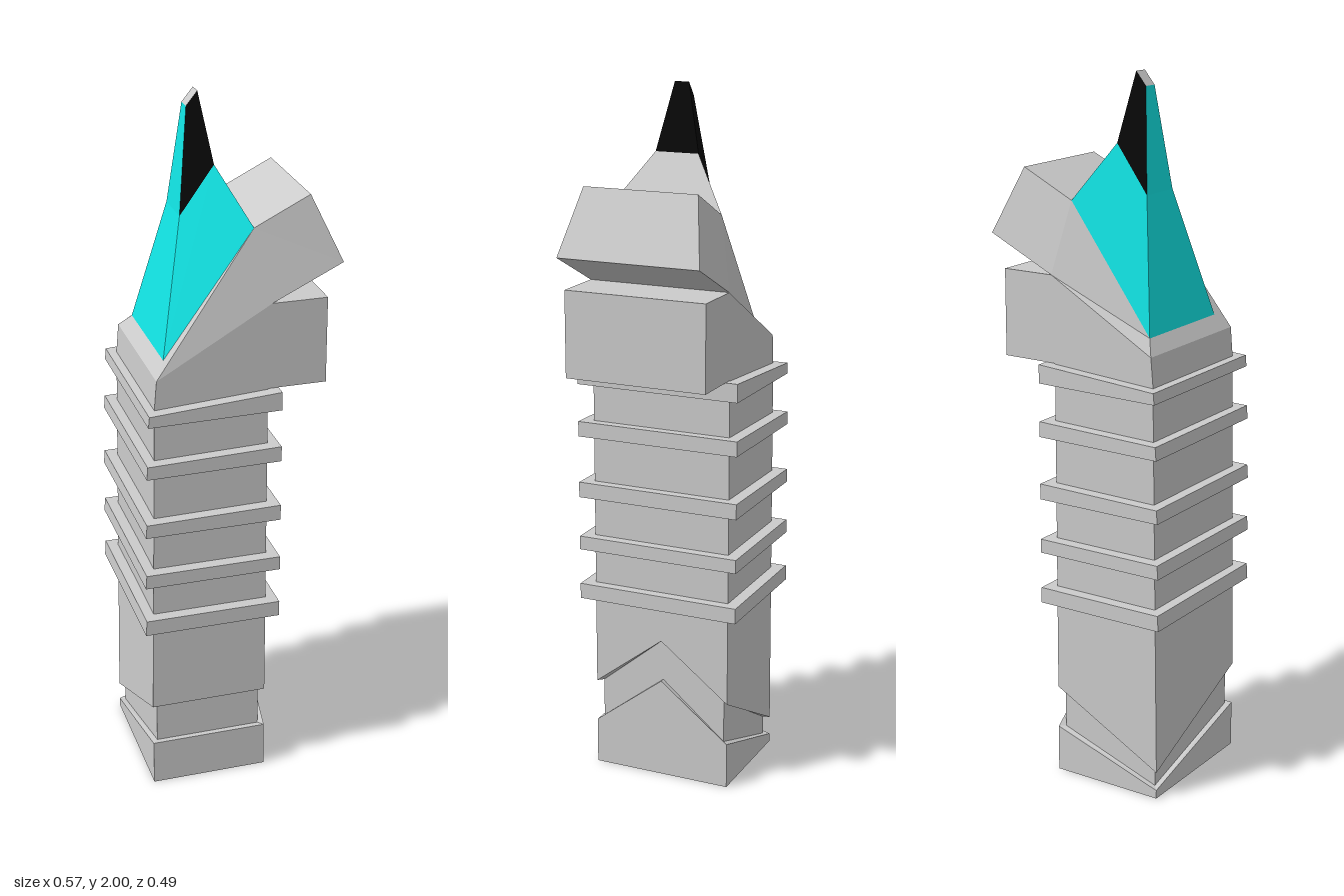
import * as THREE from 'three';

const GREY = 0xcccccc, CYAN = 0x12e6e6, BLACK = 0x080808;

function addMesh(group, name, geometry, color = GREY) {
  const mesh = new THREE.Mesh(geometry, new THREE.MeshStandardMaterial({ color, flatShading: true }));
  mesh.name = name;
  group.add(mesh);
}

// Flat-faced surface through equal-length loops; loops run counter-clockwise seen from the last loop.
// sides limits which strips are built; start/end close the ends.
function loft(loops, { sides, start = false, end = false } = {}) {
  const pos = [], n = loops[0].length;
  const tri = (a, b, c) => pos.push(...a, ...b, ...c);
  for (let k = 0; k + 1 < loops.length; k++) {
    const a = loops[k], b = loops[k + 1];
    for (let i = 0; i < n; i++) {
      if (sides && !sides.includes(i)) continue;
      const j = (i + 1) % n;
      tri(a[i], a[j], b[j]);
      tri(a[i], b[j], b[i]);
    }
  }
  const first = loops[0], last = loops[loops.length - 1];
  for (let i = 1; i + 1 < n; i++) {
    if (start) tri(first[0], first[i + 1], first[i]);
    if (end) tri(last[0], last[i], last[i + 1]);
  }
  const g = new THREE.BufferGeometry();
  g.setAttribute('position', new THREE.Float32BufferAttribute(pos, 3));
  g.computeVertexNormals();
  return g;
}

// Four-corner loop, mirrored in z; strips are 0:+z, 1:+x, 2:-z, 3:-x
const loop4 = (xb, yb, xf, yf, z) => [[xb, yb, z], [xf, yf, z], [xf, yf, -z], [xb, yb, -z]];

// Five-corner loop: peak in the middle of the +x side, dip at the back-left corner
const loop5 = (xb, xf, z, y, peak = y, dip = y, yf = y) =>
  [[xb, y, z], [xf, yf, z], [xf, peak, 0], [xf, yf, -z], [xb, dip, -z]];

export function createModel() {
  const model = new THREE.Group();
  model.name = 'carvedPost';

  // Post with a chevron groove cut around its foot
  addMesh(model, 'post', loft([
    loop5(-0.26, 0.075, 0.208, 0),
    loop5(-0.26, 0.075, 0.208, 0.135, 0.295, 0.025),
    loop5(-0.245, 0.06, 0.192, 0.135, 0.295, 0.03),
    loop5(-0.245, 0.06, 0.192, 0.26, 0.42, 0.085),
    loop5(-0.26, 0.075, 0.208, 0.26, 0.42, 0.08),
    loop5(-0.242, 0.075, 0.208, 1.2, 1.22, 1.2, 1.22),
  ], { start: true, end: true }));

  // Bands: back x, bottom y, top y at the back, top y at the front
  const bands = [
    [-0.285, 0.525, 0.57, 0.57],
    [-0.283, 0.675, 0.715, 0.715],
    [-0.28, 0.833, 0.872, 0.878],
    [-0.275, 1.01, 1.048, 1.058],
    [-0.268, 1.163, 1.195, 1.22],
  ];
  bands.forEach(([xb, y0, y1, y2], i) => addMesh(model, 'band' + (i + 1), loft([
    loop4(xb, y0, 0.105, y0 + (i > 2 ? 0.004 : 0), 0.243),
    loop4(xb + 0.003, y1, 0.105, y2, 0.243),
  ], { start: true, end: true })));

  // Lower jaw and head base
  const jaw = new THREE.Shape([
    [-0.242, 1.2], [0.075, 1.22], [0.24, 1.22], [0.24, 1.465], [0.085, 1.465], [-0.235, 1.28],
  ].map(p => new THREE.Vector2(...p)));
  addMesh(model, 'lowerJaw',
    new THREE.ExtrudeGeometry(jaw, { depth: 0.416, bevelEnabled: false }).translate(0, 0, -0.208));

  // Sloping cheeks and nape
  const cheek = loop4(-0.235, 1.28, 0.085, 1.465, 0.208);
  const brow = loop4(-0.205, 1.32, 0.045, 1.665, 0.167);
  addMesh(model, 'skull', loft([cheek, brow]));

  // Upper jaw, tilted upward
  const section = (xl, yl, xu, yu) => [[xl, yl, 0.208], [xl, yl, -0.208], [xu, yu, -0.167], [xu, yu, 0.167]];
  addMesh(model, 'upperJaw', loft([
    section(0.085, 1.465, 0.045, 1.665),
    section(0.282, 1.56, 0.2, 1.742),
  ], { start: true, end: true }));

  // Crest: cyan flanks and back, grey forehead, black spike, grey tip
  const collar = loop4(-0.128, 1.68, -0.033, 1.812, 0.064);
  const tip = loop4(-0.096, 1.962, -0.065, 2, 0.021);
  addMesh(model, 'crestFlanks', loft([brow, collar], { sides: [0, 2] }), CYAN);
  addMesh(model, 'crestBack', loft([brow, collar, tip], { sides: [3] }), CYAN);
  addMesh(model, 'forehead', loft([brow, collar], { sides: [1] }));
  addMesh(model, 'crestSpike', loft([collar, tip], { sides: [0, 1, 2] }), BLACK);
  addMesh(model, 'crestTip', loft([tip], { end: true }));

  return model;
}
